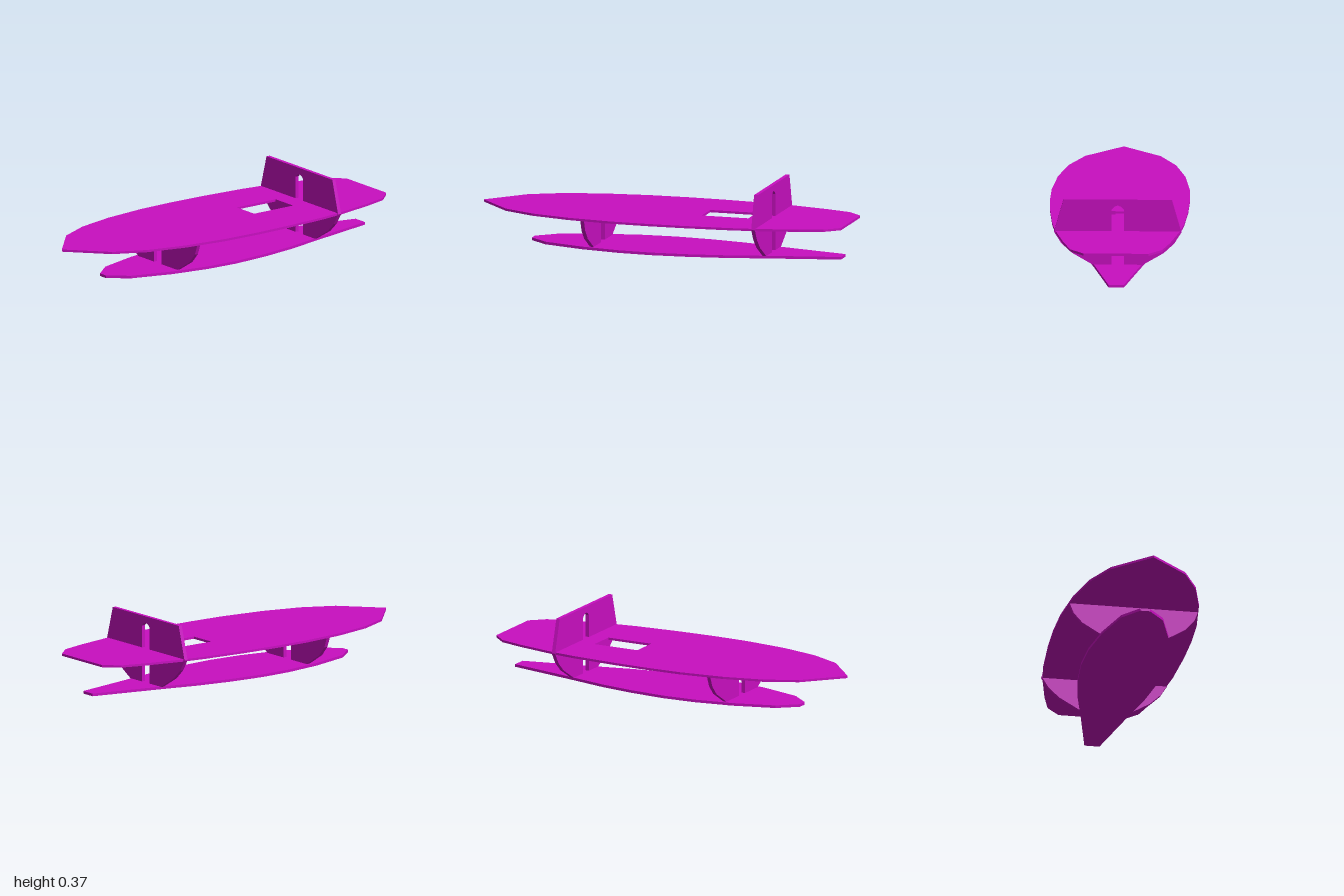
import * as THREE from 'three';

// Closed outline from its +x half, listed bottom to top and mirrored to -x
function mirrored(half) {
  const left = half.filter(([x]) => x > 0).map(([x, y]) => [-x, y]).reverse();
  return [...half, ...left].map(([x, y]) => new THREE.Vector2(x, y));
}

// Faceted arch opening standing on y = base, as a +x half
const arch = (base) => [[0.032, base], [0.032, base + 0.12], [0.018, base + 0.135], [0, base + 0.142]];

export function createModel() {
  const model = new THREE.Group();
  const magenta = new THREE.MeshStandardMaterial({ color: 0xc80fc0 });

  function add(name, shape, depth) {
    const geometry = new THREE.ExtrudeGeometry(shape, { depth, bevelEnabled: false });
    const mesh = new THREE.Mesh(geometry, magenta);
    mesh.name = name;
    model.add(mesh);
    return mesh;
  }

  // Horizontal plate: outline y becomes z, thickness runs down from top
  function plate(name, shape, top, thickness) {
    const mesh = add(name, shape, thickness);
    mesh.geometry.rotateX(Math.PI / 2).translate(0, top, 0);
  }

  // Upright cross panel centred on z
  function panel(name, shape, z) {
    const thickness = 0.02;
    add(name, shape, thickness).position.z = z - thickness / 2;
  }

  // Deck with a rectangular hatch opening
  const deck = new THREE.Shape(mirrored([
    [0.17, -1], [0.24, -0.925], [0.277, -0.8], [0.325, -0.58], [0.343, -0.45], [0.36, -0.2],
    [0.365, 0], [0.36, 0.2], [0.332, 0.44], [0.28, 0.65], [0.197, 0.82], [0, 1],
  ]));
  deck.holes.push(new THREE.Path([[-0.08, -0.465], [-0.08, -0.21], [0.07, -0.21], [0.07, -0.465]]
    .map(([x, y]) => new THREE.Vector2(x, y))));
  plate('deck', deck, 0.196, 0.012);

  // Narrow bottom plate
  plate('bottomPlate', new THREE.Shape(mirrored([
    [0.04, -0.96], [0.12, -0.6], [0.175, -0.37], [0.205, -0.18], [0.22, 0.02],
    [0.212, 0.2], [0.177, 0.41], [0.11, 0.63], [0.025, 0.73],
  ])), 0.014, 0.014);

  // Front frame, with an arch open at the bottom
  const archNotch = mirrored(arch(0.013)).reverse();
  const withNotch = (half) => {
    const outline = mirrored(half); // starts at bottom right, ends at bottom left
    return new THREE.Shape([...outline, ...archNotch]);
  };
  panel('frontFrame', withNotch([
    [0.165, 0.013], [0.272, 0.078], [0.318, 0.13], [0.34, 0.186],
  ]), 0.36);

  // Rear frame, rising through the deck with a second arch above it
  const rear = withNotch([
    [0.13, 0.013], [0.24, 0.078], [0.295, 0.13], [0.332, 0.19], [0.282, 0.367],
  ]);
  rear.holes.push(new THREE.Path(mirrored(arch(0.193))));
  panel('rearFrame', rear, -0.57);

  return model;
}
